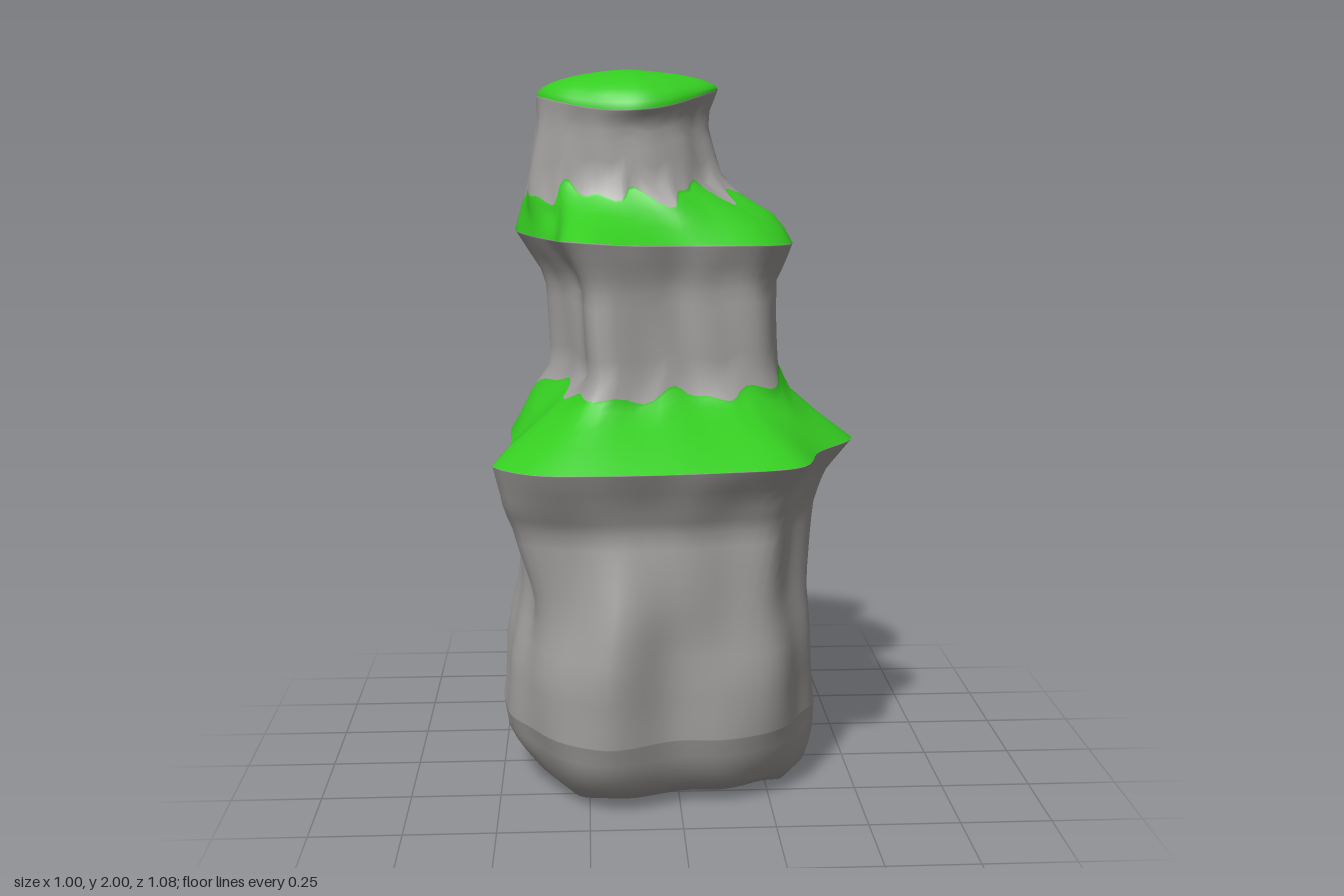
import * as THREE from 'three';

const { lerp, clamp, smoothstep } = THREE.MathUtils;
const SIDES = 96;
const BOTTOM = .03, LEDGE_1 = .98, LEDGE_2 = 1.53, CAP = 1.915, TOP = 2;

// Outlines seen from above (x, z)
const baseOutline = [[0, -.37], [.3, -.31], [.37, -.2], [.39, .1], [.37, .22], [.24, .39], [-.05, .45], [-.22, .5],
  [-.38, .38], [-.44, .25], [-.5, .05], [-.44, -.17], [-.31, -.32]];
const lowerLedgeOutline = [[-.09, -.54], [.07, -.51], [.18, -.43], [.31, -.39], [.39, -.27], [.41, -.12], [.5, .07],
  [.38, .27], [.31, .46], [.07, .52], [-.25, .54], [-.39, .52], [-.5, .4], [-.46, .27], [-.46, -.2], [-.36, -.42],
  [-.22, -.49]];
const upperLedgeOutline = [[-.09, -.34], [.05, -.23], [.24, -.14], [.33, .06], [.25, .22], [0, .28], [-.25, .37],
  [-.3, .33], [-.33, .2], [-.44, -.03], [-.42, -.17], [-.35, -.26]];
const capOutline = [[-.2, -.205], [0, -.13], [.12, 0], [0, .17], [-.12, .21], [-.35, .08], [-.35, -.15]];

// Extents by height: y, xMin, xMax, zMin, zMax
const SECTIONS = [
  [BOTTOM, -.38, .32, -.25, .36],
  [.07, -.44, .37, -.31, .41],
  [.13, -.48, .385, -.345, .45],
  [.22, -.5, .39, -.37, .485],
  [.4, -.49, .38, -.36, .5],
  [.58, -.45, .37, -.39, .49],
  [.8, -.46, .41, -.45, .46],
  [.9, -.48, .44, -.475, .5],
  [LEDGE_1, -.5, .5, -.54, .54],
  [1.1, -.41, .34, -.43, .37],
  [1.18, -.35, .295, -.36, .335],
  [1.43, -.36, .275, -.29, .32],
  [LEDGE_2, -.445, .325, -.34, .37],
  [1.6, -.43, .28, -.27, .27],
  [1.69, -.41, .14, -.19, .185],
  [1.86, -.38, .09, -.17, .185],
  [CAP, -.38, .12, -.205, .21],
];

// Outline resampled at equal angles and scaled to the range -1..1
function normalise(points) {
  const curve = new THREE.CatmullRomCurve3(points.map(([x, z]) => new THREE.Vector3(x, 0, z)), true);
  const dense = curve.getPoints(900);
  const box = new THREE.Box3().setFromPoints(dense);
  const mid = box.getCenter(new THREE.Vector3());
  const half = box.getSize(new THREE.Vector3()).multiplyScalar(.5);
  const unit = dense.map(p => [(p.x - mid.x) / half.x, (p.z - mid.z) / half.z]);
  return Array.from({ length: SIDES }, (_, i) => {
    const a = i / SIDES * Math.PI * 2, c = Math.cos(a), s = Math.sin(a);
    const closeness = p => (p[0] * c + p[1] * s) / Math.hypot(p[0], p[1]);
    return unit.reduce((best, p) => closeness(p) > closeness(best) ? p : best);
  });
}

const bump = (y, at, width) => Math.max(0, 1 - Math.abs(y - at) / width);

// Point of the rock surface at side i and height y
function surfacePoint(shapes, i, y) {
  let k = 0;
  while (k < SECTIONS.length - 2 && y > SECTIONS[k + 1][0]) k++;
  const lo = SECTIONS[k], hi = SECTIONS[k + 1];
  const t = clamp((y - lo[0]) / (hi[0] - lo[0]), 0, 1);
  const [, x0, x1, z0, z1] = lo.map((v, j) => lerp(v, hi[j], t));

  // outline changes from base to ledges to cap
  const shape = smoothstep(y, .4, LEDGE_1) + smoothstep(y, LEDGE_1, 1.18) + smoothstep(y, LEDGE_2, 1.72);
  const s = Math.min(2, Math.floor(shape));
  const u = lerp(shapes[s][i][0], shapes[s + 1][i][0], shape - s);
  const v = lerp(shapes[s][i][1], shapes[s + 1][i][1], shape - s);

  // weathered vertical ridges, calmer at the rims
  const a = i / SIDES * Math.PI * 2;
  const calm = 1 - Math.max(bump(y, LEDGE_1, .12), bump(y, LEDGE_2, .08), bump(y, CAP, .1));
  const ridges = 1 + calm * (.014 * Math.sin(7 * a + 4 * y) + .012 * Math.sin(12 * a - 5 * y + 1)
    + .008 * Math.sin(4 * a + 13 * y));

  // domed cap, closed underside
  const dome = Math.pow(1 - clamp((y - CAP) / (TOP - CAP), 0, 1) ** 2, .6);
  const scale = y < BOTTOM ? 0 : dome;
  const r = ridges * scale;

  // upper ledge raised at its ends, saddle-shaped cap rim, lumpy foot
  const lift = (.03 * Math.max(0, -u) ** 2 + .02 * v * v) * bump(y, LEDGE_2, .12)
    + (.022 * Math.cos(2 * a) + .008 * u) * bump(y, CAP, .08)
    - .03 * scale * Math.max(0, Math.sin(3 * a + .6)) ** 3 * bump(y, BOTTOM, .1);
  return [(x0 + x1) / 2 + u * r * (x1 - x0) / 2, y + lift, (z0 + z1) / 2 + v * r * (z1 - z0) / 2];
}

// Ragged upper borders of the moss
const ragged = a => .02 * Math.sin(9 * a + 1) + .015 * Math.sin(16 * a + 2) + .012 * Math.sin(5 * a);
const lowerBorder = a => 1.14 + .6 * ragged(a) + .08 * Math.max(0, Math.cos(a + .9));
const upperBorder = a => 1.67 + ragged(a + 2);
const level = y => () => y;

export function createModel() {
  const rock = new THREE.MeshStandardMaterial({ color: 0xa4a2a0 });
  rock.name = 'grey rock';
  const moss = new THREE.MeshStandardMaterial({ color: 0x35cc21 });
  moss.name = 'green moss';

  // Bands from bottom to top: name, material, lower edge, upper edge, rows
  const bands = [
    ['underside', rock, level(BOTTOM - .001), level(BOTTOM), 1],
    ['rockFoot', rock, level(BOTTOM), level(.22), 8],
    ['lowerRock', rock, level(.22), level(LEDGE_1), 20],
    ['lowerMossLedge', moss, level(LEDGE_1), lowerBorder, 5],
    ['middleRock', rock, lowerBorder, level(LEDGE_2), 12],
    ['upperMossLedge', moss, level(LEDGE_2), upperBorder, 5],
    ['upperRock', rock, upperBorder, level(CAP), 8],
    ['mossCap', moss, level(CAP), level(TOP), 9],
  ];

  const shapes = [baseOutline, lowerLedgeOutline, upperLedgeOutline, capOutline].map(normalise);
  const position = [];
  const addRow = heightAt => {
    for (let i = 0; i < SIDES; i++) {
      position.push(...surfacePoint(shapes, i, heightAt(i / SIDES * Math.PI * 2)));
    }
  };
  addRow(bands[0][2]);
  let row = 0;
  const indices = bands.map(([, , from, to, rows]) => {
    const index = [];
    for (let k = 1; k <= rows; k++, row++) {
      // rows gather towards the upper edge of each band
      const step = k === rows ? 1 : Math.sin(k / rows * Math.PI / 2);
      addRow(a => lerp(from(a), to(a), step));
      for (let i = 0; i < SIDES; i++) {
        const j = (i + 1) % SIDES, p = row * SIDES, q = p + SIDES;
        index.push(p + i, q + i, p + j, p + j, q + i, q + j);
      }
    }
    return index;
  });

  // One smooth skin; every band shares its points and normals
  const skin = new THREE.BufferGeometry();
  skin.setAttribute('position', new THREE.Float32BufferAttribute(position, 3));
  skin.setIndex(indices.flat());
  skin.computeVertexNormals();

  const group = new THREE.Group();
  group.name = 'mossyRockStack';
  bands.forEach(([name, material], b) => {
    const geometry = new THREE.BufferGeometry();
    geometry.setAttribute('position', skin.getAttribute('position'));
    geometry.setAttribute('normal', skin.getAttribute('normal'));
    geometry.setIndex(indices[b]);
    const mesh = new THREE.Mesh(geometry, material);
    mesh.name = name;
    group.add(mesh);
  });
  return group;
}
